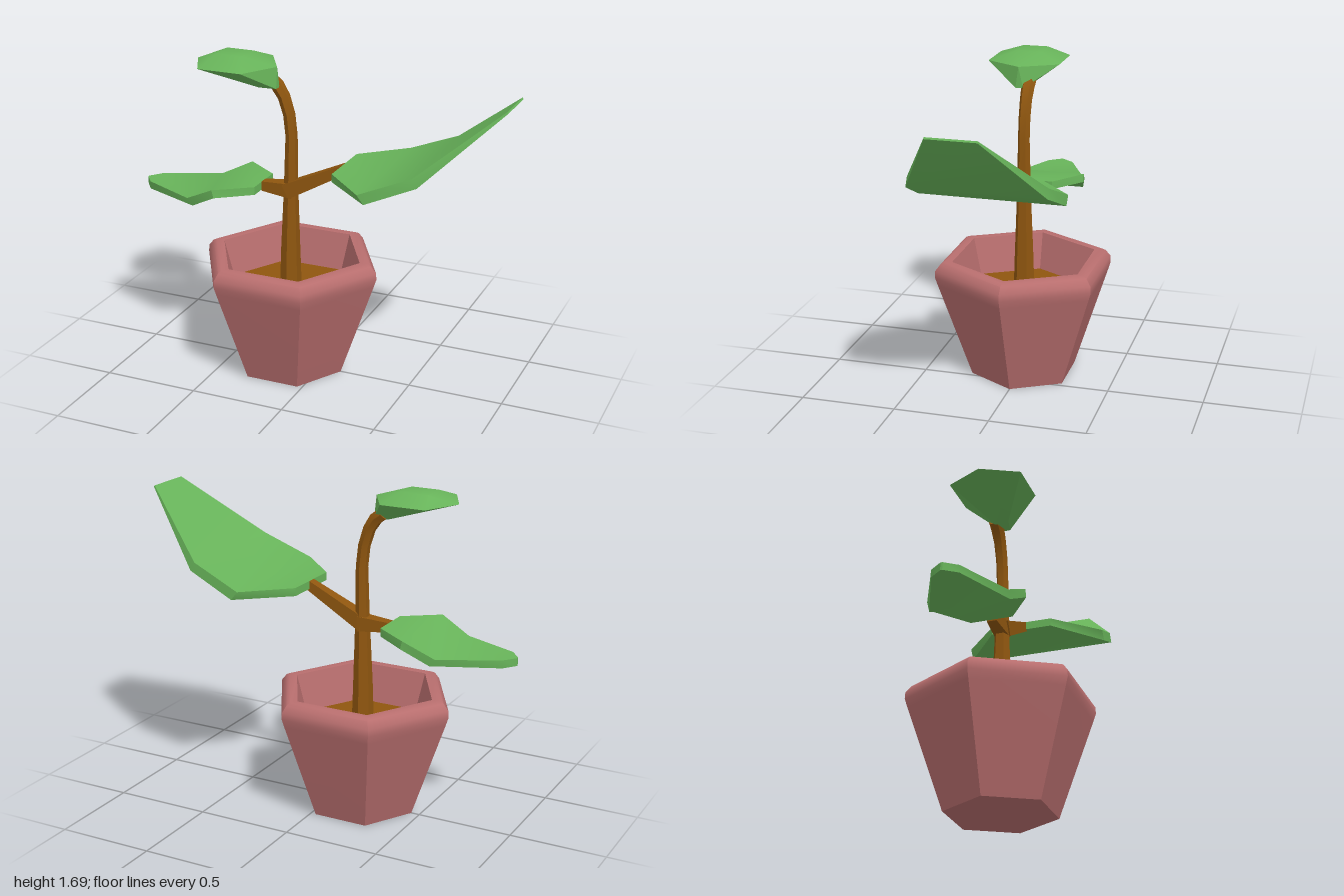
import * as THREE from 'three';
import { toCreasedNormals } from 'three/addons/utils/BufferGeometryUtils.js';
import { ConvexGeometry } from 'three/addons/geometries/ConvexGeometry.js';

const CX = -0.17; // pot and stem axis

const mat = (color) => new THREE.MeshStandardMaterial({ color });
const clay = mat(0xb86e6e), wood = mat(0x8f560f), green = mat(0x68b45a);

function part(name, geometry, material, crease = 0.6) {
  const mesh = new THREE.Mesh(toCreasedNormals(geometry, crease), material);
  mesh.name = name;
  return mesh;
}

// Skin a series of equal-sized rings and cap both ends
function loft(rings) {
  const pos = [];
  const tri = (...pts) => pts.forEach((p) => pos.push(...p));
  const n = rings[0].length;
  for (let i = 0; i < rings.length - 1; i++) {
    for (let j = 0; j < n; j++) {
      const k = (j + 1) % n;
      const [a, b, c, d] = [rings[i][j], rings[i][k], rings[i + 1][k], rings[i + 1][j]];
      tri(a, b, c);
      tri(a, c, d);
    }
  }
  const first = rings[0], last = rings[rings.length - 1];
  for (let j = 1; j < n - 1; j++) {
    tri(first[0], first[j + 1], first[j]);
    tri(last[0], last[j], last[j + 1]);
  }
  const g = new THREE.BufferGeometry();
  g.setAttribute('position', new THREE.Float32BufferAttribute(pos, 3));
  return g;
}

// Tapered stem along points [x, y, radius] in the xy plane
function stem(path, sides, turn, z = 0) {
  return loft(path.map(([x, y, r], i) => {
    const a = path[Math.max(i - 1, 0)], b = path[Math.min(i + 1, path.length - 1)];
    const len = Math.hypot(b[0] - a[0], b[1] - a[1]);
    const tx = (b[0] - a[0]) / len, ty = (b[1] - a[1]) / len;
    return Array.from({ length: sides }, (_, j) => {
      const t = turn + (j / sides) * Math.PI * 2;
      return [x - ty * r * Math.cos(t), y + tx * r * Math.cos(t), z + r * Math.sin(t)];
    });
  }));
}

// Thick leaf blade from stations [top x, top y, bottom x, bottom y, z back, z front]
function blade(stations) {
  return loft(stations.map(([x, y, bx, by, z0, z1]) =>
    [[x, y, z0], [x, y, z1], [bx, by, z1], [bx, by, z0]]));
}

export function createModel() {
  const plant = new THREE.Group();
  plant.name = 'pottedPlant';

  // Hexagonal pot with rounded lip and hollow top
  const profile = [[0, 0], [0.285, 0], [0.465, 0.52], [0.48, 0.565], [0.478, 0.6],
    [0.45, 0.635], [0.43, 0.645], [0.387, 0.643], [0.33, 0.44]]
    .map(([r, y]) => new THREE.Vector2(r, y));
  const pot = part('pot', new THREE.LatheGeometry(profile, 6, Math.PI / 2), clay);
  pot.position.x = CX;

  // Soil
  const soil = part('soil', new THREE.CylinderGeometry(0.334, 0.325, 0.02, 6, 1, false, Math.PI / 2), wood);
  soil.position.set(CX, 0.44, 0);
  plant.add(pot, soil);

  // Trunk bending over at the top, and two boxy branches
  plant.add(
    part('trunk', stem([[CX, 0.44, 0.057], [CX, 0.64, 0.051], [-0.165, 1.0, 0.037], [-0.16, 1.28, 0.031],
      [-0.172, 1.39, 0.031], [-0.2, 1.48, 0.032], [-0.235, 1.535, 0.035], [-0.275, 1.565, 0.035]],
      6, Math.PI / 6), wood),
    part('rightHandBranch', stem([[-0.15, 0.99, 0.055], [-0.32, 0.992, 0.036]], 4, Math.PI / 4), wood),
    part('leftHandBranch', stem([[-0.18, 0.985, 0.055], [0.14, 1.148, 0.034]], 4, Math.PI / 4, 0.005), wood),
  );

  // Large leaf sweeping upward to a thin tip
  plant.add(part('largeLeaf', blade([
    [0.13, 1.17, 0.13, 1.128, -0.16, 0.165],
    [0.35, 1.17, 0.385, 1.125, -0.36, 0.385],
    [0.615, 1.28, 0.64, 1.235, -0.332, 0.357],
    [0.995, 1.59, 1.0, 1.582, -0.11, 0.135],
  ]), green));

  // Medium leaf drooping to a pointed tip
  plant.add(part('mediumLeaf', blade([
    [-1, 0.94, -1, 0.9, -0.005, 0.005],
    [-0.95, 0.94, -0.95, 0.9, -0.07, 0.07],
    [-0.66, 0.937, -0.63, 0.9, -0.207, 0.203],
    [-0.5, 1.015, -0.49, 0.973, -0.24, 0.237],
    [-0.32, 1.015, -0.32, 0.973, -0.11, 0.11],
  ]), green));

  // Small faceted leaf on top of the trunk: rim, raised cap, pointed underside
  const rim = [[-0.655, 1.643, 0.045], [-0.56, 1.643, -0.143], [-0.325, 1.643, -0.143],
    [-0.215, 1.643, 0.045], [-0.325, 1.643, 0.235], [-0.56, 1.643, 0.235]];
  const cap = [[-0.525, 1.69, -0.03], [-0.38, 1.69, -0.03], [-0.38, 1.69, 0.1], [-0.525, 1.69, 0.1]];
  const under = [[-0.3, 1.537, 0], [-0.3, 1.537, 0.08], [-0.215, 1.533, 0.02], [-0.215, 1.533, 0.06]];
  const points = [...rim, ...cap, ...under].map((p) => new THREE.Vector3(...p));
  plant.add(part('topLeaf', new ConvexGeometry(points), green, 0.5));

  return plant;
}
